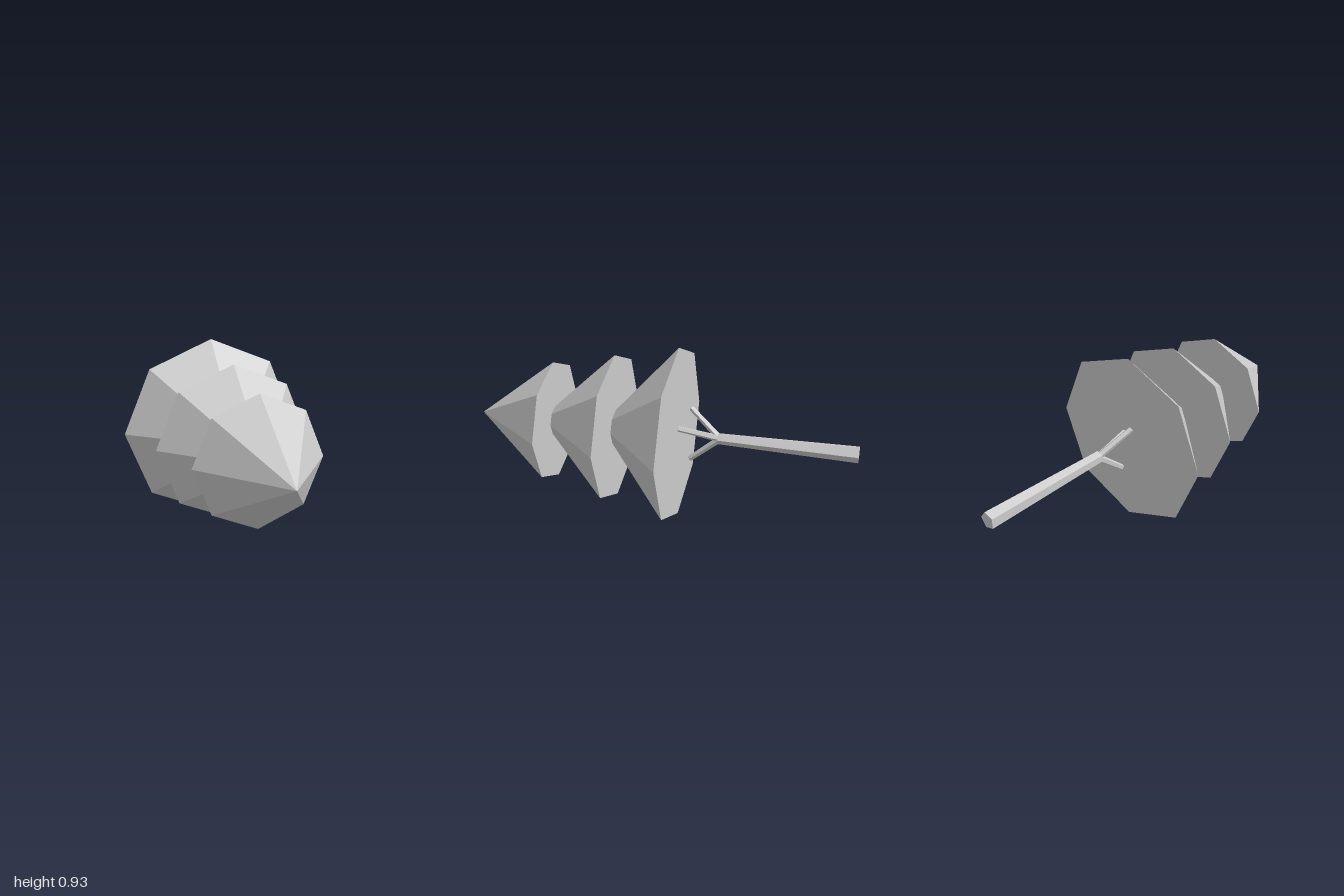
import * as THREE from 'three';

const AXIS_Y = 0.465; // height of the tree's long axis, which lies along z

export function createModel() {
  const tree = new THREE.Group();
  tree.name = 'fallenPineTree';
  const grey = new THREE.MeshStandardMaterial({ color: 0xcccccc, flatShading: true });
  grey.name = 'plain grey';

  const add = (name, geometry) => {
    const mesh = new THREE.Mesh(geometry, grey);
    mesh.name = name;
    tree.add(mesh);
    return mesh;
  };

  // Three overlapping eight-sided foliage cones pointing forward
  const coneLength = 0.42;
  [[0.323, 0.58], [0.393, 0.245], [0.463, -0.09]].forEach(([radius, baseZ], i) => {
    const cone = new THREE.ConeGeometry(radius, coneLength, 8).rotateX(Math.PI / 2);
    add(`foliage${i + 1}`, cone).position.set(0, AXIS_Y, baseZ + coneLength / 2);
  });

  // Five-sided limb tapering between two points
  const limb = (name, from, to, startRadius, endRadius) => {
    const a = new THREE.Vector3(...from);
    const b = new THREE.Vector3(...to);
    const dir = b.clone().sub(a);
    const geometry = new THREE.CylinderGeometry(endRadius, startRadius, dir.length(), 5, 1, false, Math.PI / 2);
    const mesh = add(name, geometry);
    mesh.quaternion.setFromUnitVectors(new THREE.Vector3(0, 1, 0), dir.normalize());
    mesh.position.copy(a.add(b).multiplyScalar(0.5));
  };

  // Trunk, then the three branches forking from its front end
  limb('trunk', [0, AXIS_Y, -1], [0, AXIS_Y, -0.3], 0.044, 0.03);
  const fork = [0, AXIS_Y, -0.31];
  limb('upperBranch', fork, [-0.072, 0.585, -0.142], 0.018, 0.015);
  limb('middleBranch', fork, [0.022, 0.503, -0.095], 0.018, 0.015);
  limb('lowerBranch', fork, [-0.008, 0.33, -0.15], 0.018, 0.015);

  return tree;
}
